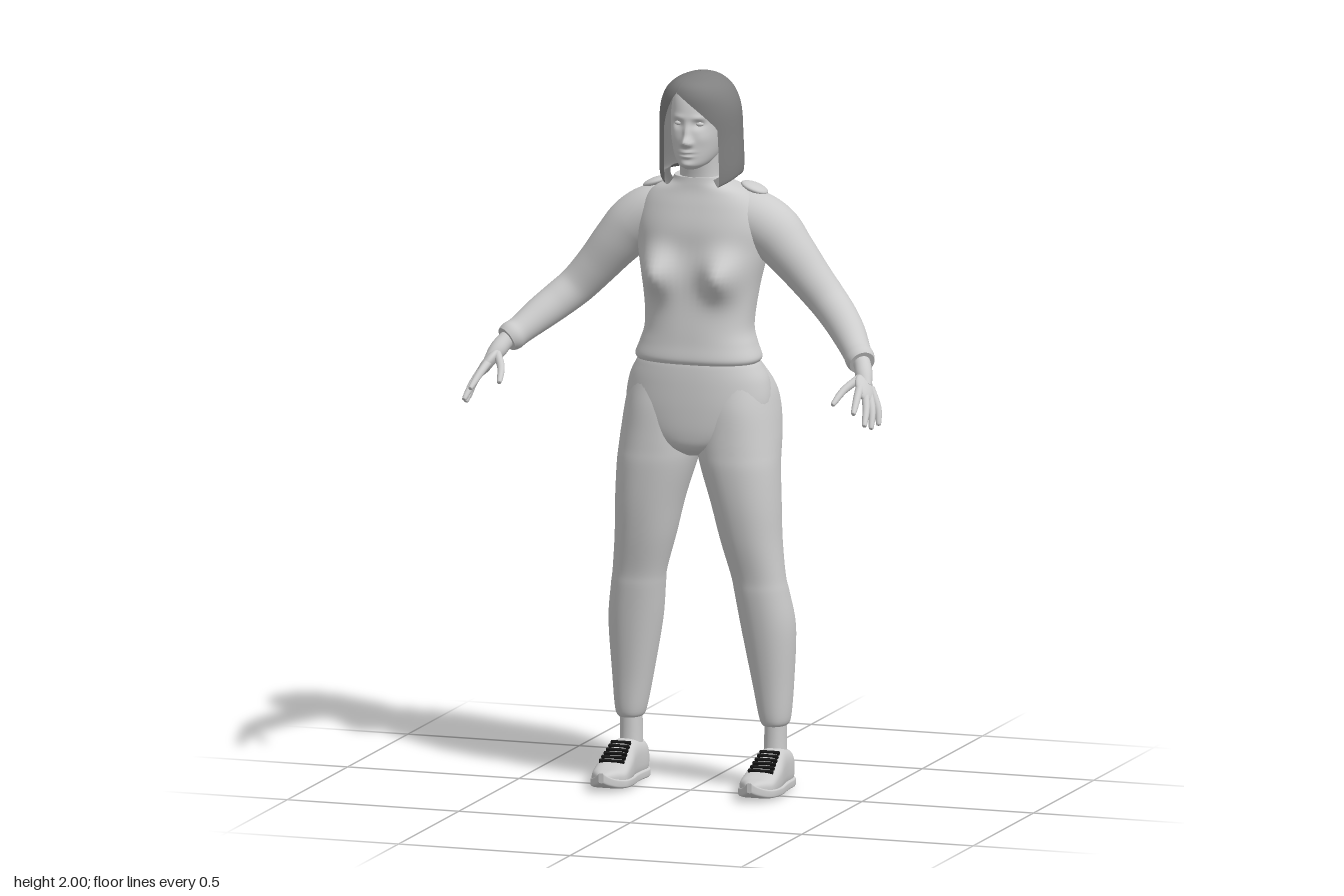
import * as THREE from 'three';

const pale = new THREE.MeshStandardMaterial({ color: 0xcccccc });
pale.name = 'paleGrey';
const hairMat = new THREE.MeshStandardMaterial({ color: 0x808080, side: THREE.DoubleSide });
hairMat.name = 'hairGrey';
const laceMat = new THREE.MeshStandardMaterial({ color: 0x161616 });
laceMat.name = 'laceBlack';

const clamp = THREE.MathUtils.clamp;

// Smooth interpolation through a list of equal-length rows, t in 0..1
function sample(rows, t) {
  const f = t * (rows.length - 1), i = Math.min(Math.floor(f), rows.length - 2), u = f - i;
  const a = rows[Math.max(i - 1, 0)], b = rows[i], c = rows[i + 1], d = rows[Math.min(i + 2, rows.length - 1)];
  return b.map((v, k) => v + 0.5 * u * (c[k] - a[k] + u * (2 * a[k] - 5 * v + 4 * c[k] - d[k] + u * (3 * (v - c[k]) + d[k] - a[k]))));
}

// Joins rings of points into a surface
function skin(rings, closed) {
  const n = rings[0].length, pos = rings.flat(2), idx = [];
  for (let i = 0; i < rings.length - 1; i++) {
    if (closed && (i === 1 || i === rings.length - 3)) continue; // cap edges stay sharp
    for (let j = 0; j < (closed ? n : n - 1); j++) {
      const a = i * n + j, b = i * n + (j + 1) % n;
      idx.push(a, b, b + n, a, b + n, a + n);
    }
  }
  const g = new THREE.BufferGeometry();
  g.setAttribute('position', new THREE.Float32BufferAttribute(pos, 3));
  g.setIndex(idx);
  g.computeVertexNormals();
  return g;
}

// Adds a flat cap at both ends of a closed stack of rings
function capped(rings) {
  const flat = r => {
    const c = [0, 1, 2].map(k => r.reduce((s, p) => s + p[k], 0) / r.length);
    return r.map(() => c);
  };
  const first = rings[0], last = rings[rings.length - 1];
  return skin([flat(first), first, ...rings, last, flat(last)], true);
}

const power = (v, p) => Math.sign(v) * Math.abs(v) ** (2 / p);

// One point on a section [position, xMin, xMax, bMin, bMax]
function sectionPoint(s, a, p) {
  return [(s[1] + s[2]) / 2 + (s[2] - s[1]) / 2 * power(Math.sin(a), p),
    (s[3] + s[4]) / 2 + (s[4] - s[3]) / 2 * power(Math.cos(a), p)];
}

// Stacks sections along y (upwards) or z (front to back)
function loft(sections, { axis = 'y', p = 2.2, n = 40, rows = 40 } = {}) {
  const rings = [];
  for (let i = 0; i <= rows; i++) {
    const s = sample(sections, i / rows);
    rings.push(Array.from({ length: n }, (_, j) => {
      const [x, b] = sectionPoint(s, j / n * Math.PI * 2, p);
      return axis === 'y' ? [x, s[0], b] : [x, b, s[0]];
    }));
  }
  return capped(rings);
}

// Tube through points [x, y, z, radius]
function limb(points, n = 24, rows = 32) {
  const rings = [], ref = new THREE.Vector3(0.7, 0.7, 0);
  for (let i = 0; i <= rows; i++) {
    const t = i / rows, c = sample(points, t);
    const a = sample(points, Math.max(t - 0.01, 0)), b = sample(points, Math.min(t + 0.01, 1));
    const T = new THREE.Vector3(b[0] - a[0], b[1] - a[1], b[2] - a[2]).normalize();
    const N = ref.clone().addScaledVector(T, -ref.dot(T)).normalize();
    const B = T.clone().cross(N);
    rings.push(Array.from({ length: n }, (_, j) => {
      const w = j / n * Math.PI * 2;
      return new THREE.Vector3(...c).addScaledVector(N, c[3] * Math.cos(w)).addScaledVector(B, c[3] * Math.sin(w)).toArray();
    }));
  }
  return capped(rings);
}

// Pushes the front (side 1) or back (side -1) in or out: [x, y, widthX, widthY, amount]
function sculpt(g, side, midZ, bumps) {
  const P = g.attributes.position;
  for (let i = 0; i < P.count; i++) {
    const x = P.getX(i), y = P.getY(i), z = P.getZ(i);
    const k = clamp(side * (z - midZ) / 0.06, 0, 1);
    let d = 0;
    for (const [cx, cy, sx, sy, a] of bumps) d += a * Math.exp(-(((x - cx) / sx) ** 2) - ((y - cy) / sy) ** 2);
    P.setZ(i, z + side * k * d);
  }
  g.computeVertexNormals();
  return g;
}
const pair = (x, ...rest) => [[x, ...rest], [-x, ...rest]];

function mirrored(g) {
  const m = g.clone().scale(-1, 1, 1), I = m.index.array;
  for (let i = 0; i < I.length; i += 3) [I[i], I[i + 1]] = [I[i + 1], I[i]];
  return m;
}

function hairGeometry() {
  const sections = [
    [1.73, -0.085, 0.085, -0.18, 0], [1.715, -0.11, 0.11, -0.203, 0.015], [1.74, -0.117, 0.117, -0.21, 0.022],
    [1.82, -0.115, 0.115, -0.21, 0.027], [1.9, -0.111, 0.111, -0.208, 0.036], [1.95, -0.094, 0.094, -0.197, 0.036],
    [1.98, -0.066, 0.066, -0.17, 0.015], [1.995, -0.032, 0.032, -0.13, -0.04], [2, -0.001, 0.001, -0.086, -0.084]];
  const rings = [];
  for (let i = 0; i <= 64; i++) {
    const s = sample(sections, i / 64);
    const open = clamp((1.955 - s[0]) / 0.1, 0, 1) ** 0.7;   // face opening widens below the parting
    const from = -0.35 + 1.1 * open, to = Math.PI * 2 - 0.35 - 0.4 * open;
    rings.push(Array.from({ length: 65 }, (_, j) => {
      const a = from + (to - from) * j / 64;
      const [x, z] = sectionPoint(s, a, 2);
      const drop = 0.04 * clamp((1.8 - s[0]) / 0.08, 0, 1) * Math.max(0, Math.cos(a)) ** 1.5;
      return [x, s[0] - drop, z];
    }));
  }
  return skin(rings, false);
}

export function createModel() {
  const model = new THREE.Group();
  const add = (name, g, mat = pale) => {
    const m = new THREE.Mesh(g, mat);
    m.name = name;
    model.add(m);
  };
  const both = (name, g, mat) => {
    add('left' + name, g, mat);
    add('right' + name, mirrored(g), mat);
  };

  // Head with face, neck and hair
  const head = loft([
    [1.742, -0.02, 0.02, -0.05, 0.015], [1.755, -0.042, 0.042, -0.1, 0.03], [1.78, -0.058, 0.058, -0.15, 0.034],
    [1.82, -0.068, 0.068, -0.17, 0.034], [1.86, -0.073, 0.073, -0.185, 0.031], [1.9, -0.074, 0.074, -0.19, 0.025],
    [1.94, -0.068, 0.068, -0.18, 0.01], [1.97, -0.045, 0.045, -0.15, -0.02], [1.982, -0.01, 0.01, -0.1, -0.07],
  ], { n: 96, rows: 80 });
  add('head', sculpt(head, 1, -0.06, [
    [0, 1.822, 0.012, 0.013, 0.022], [0, 1.845, 0.008, 0.022, 0.011], ...pair(0.012, 1.817, 0.007, 0.007, 0.008),
    ...pair(0.03, 1.869, 0.015, 0.011, -0.011), ...pair(0.03, 1.888, 0.02, 0.007, 0.004),
    [0, 1.793, 0.018, 0.005, 0.008], [0, 1.781, 0.016, 0.005, 0.008], [0, 1.787, 0.02, 0.002, -0.004],
    [0, 1.757, 0.02, 0.01, 0.007], ...pair(0.045, 1.83, 0.018, 0.02, 0.004)]));
  both('Eye', new THREE.SphereGeometry(0.011, 20, 14).scale(1.1, 0.6, 0.8).translate(0.03, 1.87, 0.011));
  add('neck', loft([[1.66, -0.065, 0.065, -0.15, -0.03], [1.72, -0.055, 0.055, -0.14, -0.025], [1.79, -0.055, 0.055, -0.14, -0.01]]));
  add('hair', hairGeometry(), hairMat);

  // Sweater body with bust and spine groove
  const torso = loft([
    [1.197, -0.172, 0.172, -0.172, 0.034], [1.212, -0.178, 0.178, -0.18, 0.04], [1.25, -0.164, 0.164, -0.178, 0.035],
    [1.3, -0.152, 0.152, -0.185, 0.03], [1.4, -0.162, 0.162, -0.205, 0.018], [1.5, -0.182, 0.182, -0.22, 0.01],
    [1.57, -0.185, 0.185, -0.216, 0.008], [1.63, -0.167, 0.167, -0.2, -0.005], [1.67, -0.135, 0.135, -0.185, -0.016],
    [1.695, -0.085, 0.085, -0.165, -0.02], [1.712, -0.072, 0.072, -0.155, -0.022],
  ], { n: 72, rows: 64, p: 2.4 });
  sculpt(torso, 1, -0.08, pair(0.095, 1.445, 0.052, 0.06, 0.064));
  add('sweaterBody', sculpt(torso, -1, -0.1, [[0, 1.42, 0.03, 0.16, -0.016]]));

  // Sleeves with gathered cuffs, shoulder patches
  both('Sleeve', limb([
    [0.07, 1.605, -0.11, 0.07], [0.14, 1.59, -0.118, 0.08], [0.2, 1.555, -0.118, 0.08], [0.25, 1.505, -0.113, 0.07],
    [0.31, 1.435, -0.112, 0.06], [0.365, 1.375, -0.104, 0.054], [0.41, 1.335, -0.075, 0.051], [0.45, 1.3, -0.035, 0.047],
    [0.49, 1.262, 0.015, 0.04], [0.508, 1.247, 0.038, 0.041], [0.518, 1.239, 0.05, 0.036]], 32, 56));
  both('ShoulderPatch', new THREE.SphereGeometry(1, 24, 12).scale(0.04, 0.012, 0.036).rotateZ(-0.35).translate(0.143, 1.675, -0.125));

  // Hands
  both('Wrist', limb([[0.495, 1.258, 0.02, 0.026], [0.52, 1.236, 0.055, 0.024], [0.535, 1.212, 0.083, 0.024], [0.55, 1.185, 0.11, 0.016]]));
  const along = new THREE.Vector3(0.045, -0.08, 0.1).normalize();
  const across = new THREE.Vector3(0.05, -0.05, -0.105);
  across.addScaledVector(along, -across.dot(along)).normalize();
  const palmFrame = new THREE.Matrix4().makeBasis(along, across, along.clone().cross(across));
  both('Palm', new THREE.SphereGeometry(1, 24, 16).scale(0.05, 0.036, 0.016).applyMatrix4(palmFrame).translate(0.55, 1.182, 0.118));
  const fingers = {
    Thumb: [[0.532, 1.21, 0.095], [0.5, 1.18, 0.15], [0.487, 1.15, 0.2]],
    IndexFinger: [[0.54, 1.195, 0.125], [0.55, 1.165, 0.185], [0.558, 1.135, 0.235]],
    MiddleFinger: [[0.55, 1.185, 0.12], [0.572, 1.14, 0.17], [0.583, 1.1, 0.215]],
    RingFinger: [[0.555, 1.18, 0.11], [0.582, 1.13, 0.15], [0.59, 1.087, 0.18]],
    LittleFinger: [[0.56, 1.18, 0.1], [0.588, 1.13, 0.12], [0.597, 1.09, 0.138]],
  };
  for (const [name, [a, b, c]] of Object.entries(fingers)) {
    const tip = c.map((v, k) => v + (c[k] - b[k]) * 0.07);
    both(name, limb([[...a, 0.012], [...b, 0.0105], [...c, 0.007], [...tip, 0.001]], 14, 18));
  }

  // Trousers: hips and two legs
  add('trouserHips', loft([
    [0.935, -0.03, 0.03, -0.1, -0.01], [0.96, -0.1, 0.1, -0.13, 0.025], [1, -0.17, 0.17, -0.16, 0.037],
    [1.07, -0.205, 0.205, -0.18, 0.04], [1.14, -0.2, 0.2, -0.19, 0.038], [1.185, -0.18, 0.18, -0.177, 0.034],
    [1.203, -0.168, 0.168, -0.168, 0.03]], { n: 56 }));
  both('TrouserLeg', loft([
    [0.178, 0.178, 0.242, -0.15, -0.062], [0.2, 0.168, 0.252, -0.158, -0.052], [0.3, 0.148, 0.26, -0.17, -0.04],
    [0.45, 0.12, 0.267, -0.177, -0.018], [0.55, 0.106, 0.255, -0.157, -0.005], [0.6, 0.098, 0.247, -0.145, 0],
    [0.7, 0.07, 0.238, -0.155, 0.02], [0.8, 0.045, 0.235, -0.165, 0.034], [0.9, 0.014, 0.231, -0.178, 0.04],
    [0.95, 0, 0.228, -0.2, 0.038], [1, -0.006, 0.224, -0.225, 0.035], [1.07, -0.006, 0.215, -0.241, 0.03],
    [1.13, -0.006, 0.2, -0.222, 0.02], [1.2, 0.005, 0.165, -0.165, 0.01]], { n: 48, rows: 72 }));

  // Ankles and pointed shoes with laces
  both('Ankle', loft([[0.06, 0.178, 0.242, -0.148, -0.065], [0.13, 0.18, 0.24, -0.146, -0.07], [0.22, 0.182, 0.24, -0.145, -0.07]], { n: 28, rows: 10 }));
  const shoe = [
    [0.128, 0.213, 0.219, 0.028, 0.038], [0.115, 0.2, 0.233, 0.018, 0.05], [0.09, 0.182, 0.253, 0.008, 0.057],
    [0.06, 0.164, 0.266, 0.004, 0.062], [0, 0.167, 0.266, 0, 0.09], [-0.04, 0.171, 0.262, 0, 0.112],
    [-0.08, 0.171, 0.258, 0, 0.118], [-0.13, 0.168, 0.256, 0, 0.11], [-0.152, 0.176, 0.248, 0.002, 0.1], [-0.16, 0.195, 0.228, 0.01, 0.085]];
  both('Shoe', loft(shoe, { axis: 'z', p: 2.8 }));
  both('Sole', loft(shoe.map(([z, a, b, lo]) => [z, a - 0.004, b + 0.004, lo, lo + 0.028]), { axis: 'z', p: 5 }));
  for (let i = 0; i < 6; i++) {
    const z = 0.036 - i * 0.015;
    both('Lace' + (i + 1), new THREE.BoxGeometry(0.072 - i * 0.003, 0.009, 0.008).rotateX(0.47)
      .translate(0.217, 0.091 - z * 0.52, z), laceMat);
  }
  return model;
}
